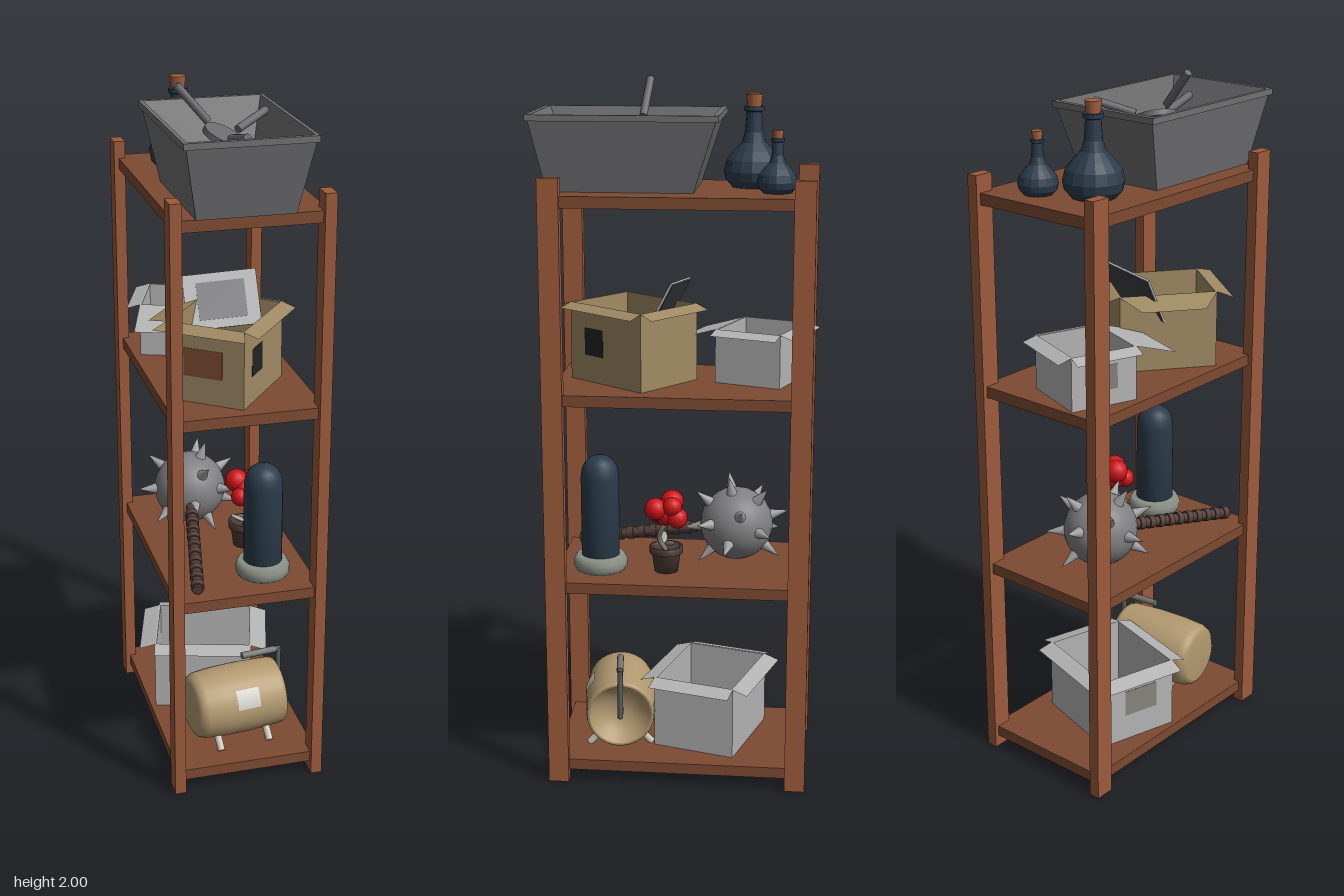
import * as THREE from 'three';

const mat = (color, opts = {}) => new THREE.MeshStandardMaterial({ color, ...opts });
const V = (x, y, z) => new THREE.Vector3(x, y, z);

function add(parent, name, geo, material, x = 0, y = 0, z = 0) {
  const m = new THREE.Mesh(geo, material);
  m.name = name;
  m.position.set(x, y, z);
  parent.add(m);
  return m;
}

// Round bar (or cone) from a to b
function bar(parent, name, a, b, ra, rb, material, sides = 12) {
  const d = b.clone().sub(a);
  const m = add(parent, name, new THREE.CylinderGeometry(rb, ra, d.length(), sides), material);
  m.position.copy(a).addScaledVector(d, 0.5);
  m.quaternion.setFromUnitVectors(V(0, 1, 0), d.normalize());
  return m;
}

const lathe = (pts, n) => new THREE.LatheGeometry(pts.map(p => new THREE.Vector2(p[0], p[1])), n);

// Skin over rectangular sections [x0, x1, y, z0, z1], capped at both ends
function loftRects(sections) {
  const rings = sections.map(([x0, x1, y, z0, z1]) => [V(x0, y, z0), V(x1, y, z0), V(x1, y, z1), V(x0, y, z1)]);
  const p = [], first = rings[0], last = rings[rings.length - 1];
  p.push(first[0], first[1], first[2], first[0], first[2], first[3]);
  for (let i = 0; i + 1 < rings.length; i++)
    for (let k = 0; k < 4; k++) {
      const j = (k + 1) % 4, lo = rings[i], hi = rings[i + 1];
      p.push(lo[k], hi[k], hi[j], lo[k], hi[j], lo[j]);
    }
  p.push(last[0], last[2], last[1], last[0], last[3], last[2]);
  const g = new THREE.BufferGeometry().setFromPoints(p);
  g.computeVertexNormals();
  return g;
}

// Open carton with four bent flaps: [length, taper] for +z, +x, -z, -x
function carton(name, color, [x, y, z], [w, h, d], turn, flaps) {
  const g = new THREE.Group();
  g.name = name;
  g.position.set(x, y, z);
  g.rotation.y = turn;
  const m = mat(color, { side: THREE.DoubleSide }), t = 0.005;
  add(g, 'cartonWalls', loftRects([
    [-w / 2, w / 2, 0, -d / 2, d / 2], [-w / 2, w / 2, h, -d / 2, d / 2],
    [-w / 2 + t, w / 2 - t, h, -d / 2 + t, d / 2 - t], [-w / 2 + t, w / 2 - t, t, -d / 2 + t, d / 2 - t],
  ]), m);
  flaps.forEach(([len, taper], i) => {
    const side = i % 2 ? d : w, off = (i % 2 ? w : d) / 2;
    const s = new THREE.Shape([[-side / 2, 0], [side / 2, 0], [side / 2 - taper, len], [-side / 2 + taper, len]]
      .map(p => new THREE.Vector2(p[0], p[1])));
    const hinge = new THREE.Group();
    hinge.name = 'flapHinge';
    hinge.rotation.y = i * Math.PI / 2;
    add(hinge, 'flap', new THREE.ShapeGeometry(s), m, 0, h, off).rotation.x = Math.PI / 2 + 0.3;
    g.add(hinge);
  });
  return g;
}

function bottle(x, y, z, s) {
  const g = new THREE.Group();
  g.name = 'bottle';
  g.position.set(x, y, z);
  g.scale.setScalar(s);
  add(g, 'glass', lathe([[0, 0], [0.06, 0], [0.078, 0.02], [0.083, 0.045], [0.075, 0.075], [0.055, 0.1], [0.034, 0.122],
    [0.025, 0.15], [0.021, 0.205], [0.028, 0.208], [0.028, 0.22], [0, 0.22]], 16), mat(0x2b3c4b, { flatShading: true }));
  add(g, 'cork', new THREE.CylinderGeometry(0.023, 0.019, 0.036, 12), mat(0xa8633f), 0, 0.235, 0);
  return g;
}

export function createModel() {
  const root = new THREE.Group();
  root.name = 'storageShelf';
  const post = mat(0x9c5b3c), board = mat(0x7d4b32), steel = mat(0x6b6b70), darkBlue = mat(0x2b3c4b);

  // Rack
  for (const x of [-0.195, 0.214]) for (const z of [0.32, -0.364])
    add(root, 'post', new THREE.BoxGeometry(0.032, 1.75, 0.058), post, x, 0.875, z);
  for (const y of [0.05, 0.595, 1.14, 1.685])
    add(root, 'shelfBoard', new THREE.BoxGeometry(0.414, 0.032, 0.714), board, 0.01, y, -0.023);

  // Top shelf: trough with a three-armed tool, and two bottles
  add(root, 'trough', loftRects([
    [-0.14, 0.125, 1.701, -0.06, 0.34], [-0.175, 0.16, 1.893, -0.122, 0.382], [-0.183, 0.167, 1.893, -0.13, 0.39],
    [-0.183, 0.167, 1.91, -0.13, 0.39], [-0.172, 0.157, 1.91, -0.115, 0.376], [-0.122, 0.108, 1.715, -0.037, 0.3],
  ]), mat(0x707072));
  const hub = V(-0.005, 1.853, 0.1), tilt = V(0.4, 1, 0.25).normalize();
  bar(root, 'toolDisc', hub.clone().addScaledVector(tilt, -0.008), hub.clone().addScaledVector(tilt, 0.008), 0.057, 0.057, steel, 24);
  for (const end of [V(-0.127, 1.99, 0.083), V(0.138, 1.895, 0.005), V(0.013, 1.885, 0.268)])
    bar(root, 'toolArm', hub.clone().lerp(end, 0.33).add(V(0, -0.005, 0)), end, 0.011, 0.011, steel);
  root.add(bottle(-0.052, 1.701, -0.212, 1), bottle(0.08, 1.701, -0.283, 0.66));

  // Upper shelf: two cartons and a framed panel
  const brown = carton('brownCarton', 0xa08a64, [-0.005, 1.156, 0.12], [0.227, 0.22, 0.278], -0.66,
    [[0.045, -0.02], [0.042, 0], [0.045, 0], [0.078, 0.05]]);
  add(brown, 'redLabel', new THREE.BoxGeometry(0.113, 0.08, 0.002), mat(0x7d4b32), -0.006, 0.115, 0.139);
  add(brown, 'blackLabel', new THREE.BoxGeometry(0.002, 0.078, 0.072), mat(0x222424), 0.1135, 0.115, 0.046);
  root.add(brown);
  const panel = new THREE.Group();
  panel.name = 'framedPanel';
  panel.position.set(0.012, 1.375, 0.02);
  panel.rotation.set(-0.48, -0.18, 0);
  add(panel, 'frame', new THREE.BoxGeometry(0.207, 0.155, 0.006), mat(0xb8b8b8));
  add(panel, 'screen', new THREE.BoxGeometry(0.135, 0.105, 0.002), mat(0x808086), 0, 0, 0.004);
  add(panel, 'panelBack', new THREE.BoxGeometry(0.2, 0.148, 0.002), mat(0x3c4144), 0, 0, -0.004);
  root.add(panel);
  const small = carton('smallGreyCarton', 0xb4b4b4, [-0.044, 1.156, -0.242], [0.21, 0.152, 0.197], -0.35,
    [[0.13, 0], [0.04, 0], [0.04, 0], [0.04, 0]]);
  add(small, 'label', new THREE.BoxGeometry(0.002, 0.07, 0.08), mat(0x808080), -0.105, 0.08, 0);
  root.add(small);

  // Middle shelf: spiked club
  const club = new THREE.Group();
  club.name = 'spikedClub';
  const ball = V(-0.035, 0.722, -0.175), grip = V(-0.13, 0.63, 0.3), iron = mat(0x808082), wood = mat(0x55403a);
  add(club, 'clubHead', new THREE.SphereGeometry(0.106, 24, 16), iron, ball.x, ball.y, ball.z);
  for (let i = 0; i < 20; i++) {
    const y = 1 - (i + 0.5) / 10, r = Math.sqrt(1 - y * y), a = i * 2.4 + 0.4;
    const dir = V(r * Math.cos(a), y, r * Math.sin(a));
    const reach = y < -0.7 ? 0.108 : 0.158;
    bar(club, 'spike', ball.clone().addScaledVector(dir, 0.095), ball.clone().addScaledVector(dir, reach), 0.019, 0, mat(0xa0a0a2), 10);
  }
  bar(club, 'clubHandle', ball, grip, 0.015, 0.015, wood);
  for (let i = 0; i < 10; i++)
    bar(club, 'gripRing', ball.clone().lerp(grip, 0.28 + i * 0.074), ball.clone().lerp(grip, 0.32 + i * 0.074), 0.019, 0.019, wood);
  root.add(club);

  // Middle shelf: domed canister on a rounded foot
  add(root, 'canister', lathe([[0, 0], [0.055, 0], [0.055, 0.245], [0.051, 0.272], [0.04, 0.292], [0.022, 0.305], [0, 0.31]], 24),
    darkBlue, 0.083, 0.642, 0.21);
  add(root, 'canisterFoot', lathe([[0, 0], [0.07, 0], [0.077, 0.012], [0.077, 0.03], [0.068, 0.046], [0, 0.046]], 24),
    mat(0x8a9086), 0.083, 0.611, 0.21);

  // Middle shelf: potted red flower
  const plant = new THREE.Group();
  plant.name = 'pottedFlower';
  plant.position.set(0.083, 0.611, 0.02);
  add(plant, 'pot', lathe([[0, 0], [0.034, 0], [0.042, 0.055], [0.048, 0.055], [0.048, 0.075], [0.04, 0.075], [0.038, 0.062], [0, 0.062]], 16),
    mat(0x4d3c35));
  const curve = new THREE.CatmullRomCurve3([V(0, 0.06, 0), V(0, 0.095, 0.02), V(0.005, 0.125, 0.012), V(0.005, 0.15, -0.01)]);
  add(plant, 'stem', new THREE.TubeGeometry(curve, 12, 0.007, 8), mat(0x777a70));
  for (const s of [-1, 1]) {
    const leaf = add(plant, 'leaf', new THREE.SphereGeometry(0.028, 10, 6), mat(0xa8a8a0), s * 0.022, 0.09, -0.012 * s);
    leaf.scale.set(1, 0.2, 0.5);
    leaf.rotation.z = s * 0.5;
  }
  const red = mat(0xd01418);
  for (const [x, y, z, r] of [[0, 0.175, 0, 0.038], [0.022, 0.19, 0.028, 0.032], [-0.022, 0.2, -0.015, 0.034],
    [0.02, 0.165, -0.034, 0.03], [-0.02, 0.165, 0.025, 0.028], [0.025, 0.2, -0.02, 0.028]])
    add(plant, 'petal', new THREE.SphereGeometry(r, 14, 10), red, x, y, z);
  root.add(plant);

  // Bottom shelf: grey carton
  const large = carton('largeGreyCarton', 0xb4b4b4, [-0.01, 0.066, -0.103], [0.29, 0.213, 0.245], -0.28,
    [[0.045, 0], [0.048, 0], [0.045, 0], [0.048, 0]]);
  add(large, 'label', new THREE.BoxGeometry(0.002, 0.08, 0.11), mat(0x85857c), -0.145, 0.12, 0.01);
  root.add(large);

  // Bottom shelf: drum with a hand crank
  const drum = new THREE.Group();
  drum.name = 'crankDrum';
  drum.position.set(0.012, 0.177, 0.165);
  drum.rotation.y = 0.12;
  const tan = mat(0xb39a70, { side: THREE.DoubleSide }), pale = mat(0xc9c4b6), crank = mat(0x5e605c);
  add(drum, 'drumBody', lathe([[0, -0.137], [0.075, -0.137], [0.09, -0.128], [0.098, -0.11], [0.103, -0.05], [0.104, 0.03],
    [0.1, 0.12], [0.098, 0.132], [0.088, 0.132], [0.065, 0.1], [0.03, 0.085], [0, 0.082]], 28), tan).rotation.z = -Math.PI / 2;
  add(drum, 'drumPlate', new THREE.CylinderGeometry(0.106, 0.106, 0.07, 8, 1, true, 0, 0.55),
    mat(0xd0cfca, { side: THREE.DoubleSide }), 0.01, 0, 0).rotation.set(0, 0, -Math.PI / 2);
  drum.children[1].rotation.x = -0.75;
  for (const x of [-0.075, 0.078]) for (const s of [-1, 1])
    bar(drum, 'drumLeg', V(x, -0.075, s * 0.06), V(x, -0.11, s * 0.092), 0.011, 0.011, pale);
  bar(drum, 'crankAxle', V(0.07, 0, 0), V(0.145, 0, 0), 0.008, 0.008, crank);
  bar(drum, 'crankArm', V(0.142, -0.005, 0), V(0.142, 0.143, 0), 0.008, 0.008, crank);
  bar(drum, 'crankRod', V(0.148, 0.138, 0), V(0.1, 0.138, 0), 0.008, 0.008, crank);
  bar(drum, 'crankHandle', V(0.13, 0.138, 0), V(0.025, 0.138, 0), 0.01, 0.01, mat(0x75776f));
  root.add(drum);

  return root;
}
